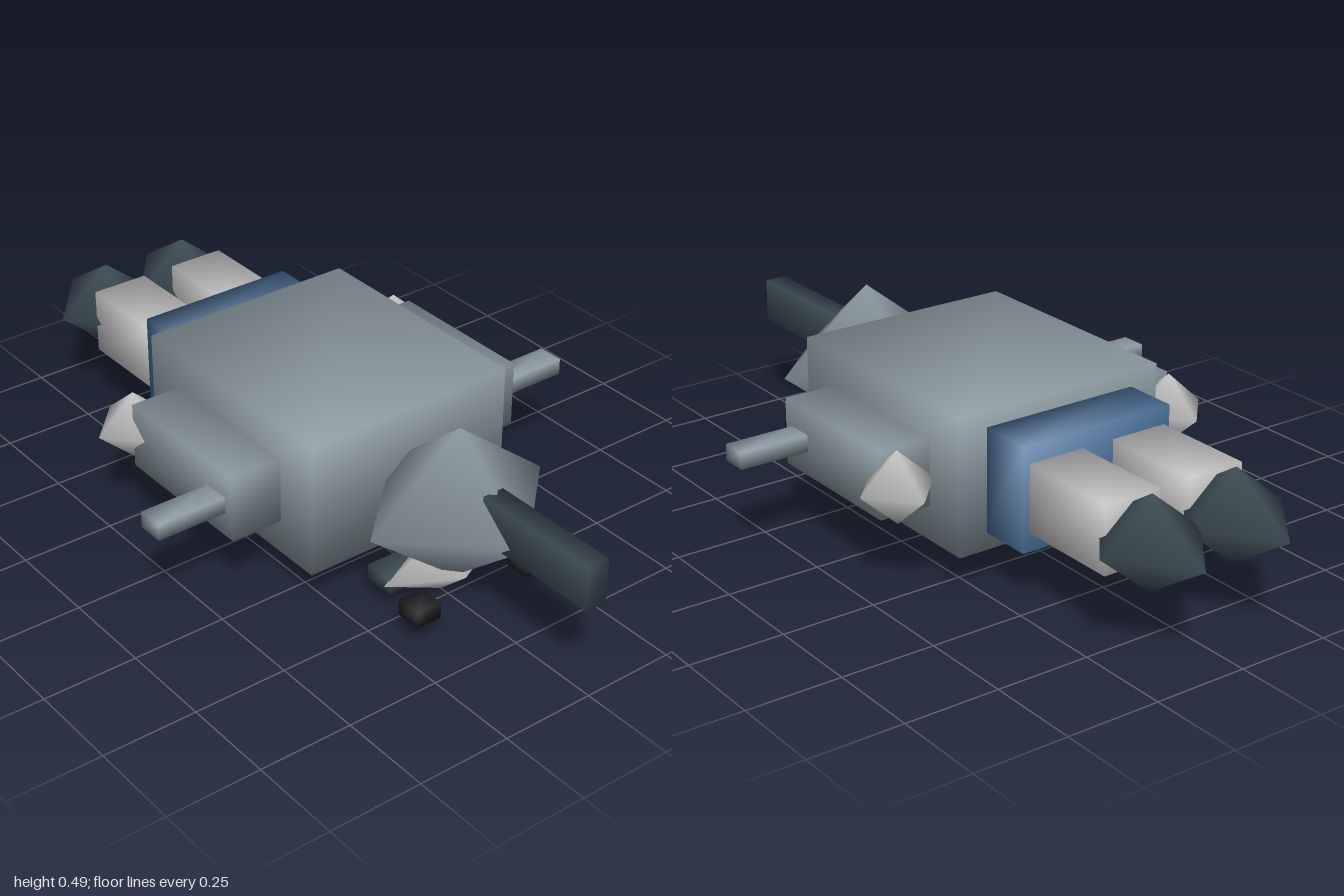
import * as THREE from 'three';
import { mergeVertices } from 'three/addons/utils/BufferGeometryUtils.js';

const paint = (color) => new THREE.MeshStandardMaterial({ color });
const steel = paint(0x8d9ca3);
const grey = paint(0xcccccc);
const dark = paint(0x3f4f58);
const blue = paint(0x4a7099);
const black = paint(0x1e1e22);

// Weld all corners so that shading runs smoothly over every edge
function soften(geometry) {
  geometry.deleteAttribute('normal');
  geometry.deleteAttribute('uv');
  const welded = mergeVertices(geometry);
  welded.computeVertexNormals();
  return welded;
}

export function createModel() {
  const model = new THREE.Group();

  function add(name, geometry, material, x, y, z) {
    const mesh = new THREE.Mesh(geometry, material);
    mesh.name = name;
    mesh.position.set(x, y, z);
    model.add(mesh);
  }
  // Block given by its limits on each axis
  function block(name, material, [x0, x1], [y0, y1], [z0, z1]) {
    const geometry = soften(new THREE.BoxGeometry(x1 - x0, y1 - y0, z1 - z0));
    add(name, geometry, material, (x0 + x1) / 2, (y0 + y1) / 2, (z0 + z1) / 2);
  }
  // Eight-sided gem given by its centre and radii
  function gem(name, material, [x, y, z], [rx, ry, rz]) {
    const geometry = soften(new THREE.OctahedronGeometry(1).scale(rx, ry, rz));
    add(name, geometry, material, x, y, z);
  }

  // Hull
  block('body', steel, [-0.3, 0.3], [0.097, 0.46], [-0.325, 0.343]);
  block('bellyPlate', grey, [-0.19, 0.19], [0.048, 0.1], [-0.233, 0.213]);
  block('rearBlock', blue, [-0.22, 0.22], [0.143, 0.417], [-0.47, -0.32]);

  // Head
  gem('head', steel, [0, 0.28, 0.522], [0.265, 0.21, 0.25]);
  block('noseGun', dark, [-0.03, 0.03], [0.255, 0.375], [0.645, 1]);
  gem('jaw', grey, [0, 0.085, 0.472], [0.18, 0.083, 0.092]);
  block('gum', dark, [-0.16, 0.16], [0.05, 0.093], [0.385, 0.47]);
  for (let i = -2; i <= 2; i++) {
    const x = i * 0.053;
    block('tooth', grey, [x - 0.015, x + 0.015], [0.03, 0.052], [0.38, 0.445]);
  }

  // Paired parts
  for (const side of [-1, 1]) {
    const span = (a, b) => (side > 0 ? [a, b] : [-b, -a]);
    block('eye', black, span(0.135, 0.205), [0.066, 0.11], [0.56, 0.63]);
    block('sidePod', steel, span(0.28, 0.443), [0.19, 0.367], [-0.203, 0.22]);
    block('sideGun', steel, span(0.44, 0.633), [0.256, 0.3], [0.12, 0.192]);
    gem('sideThruster', grey, [side * 0.418, 0.283, -0.238], [0.105, 0.095, 0.112]);
    block('booster', grey, span(0.046, 0.203), [0.193, 0.37], [-0.75, -0.465]);
    gem('boosterTip', dark, [side * 0.125, 0.28, -0.815], [0.147, 0.122, 0.185]);
  }
  return model;
}
